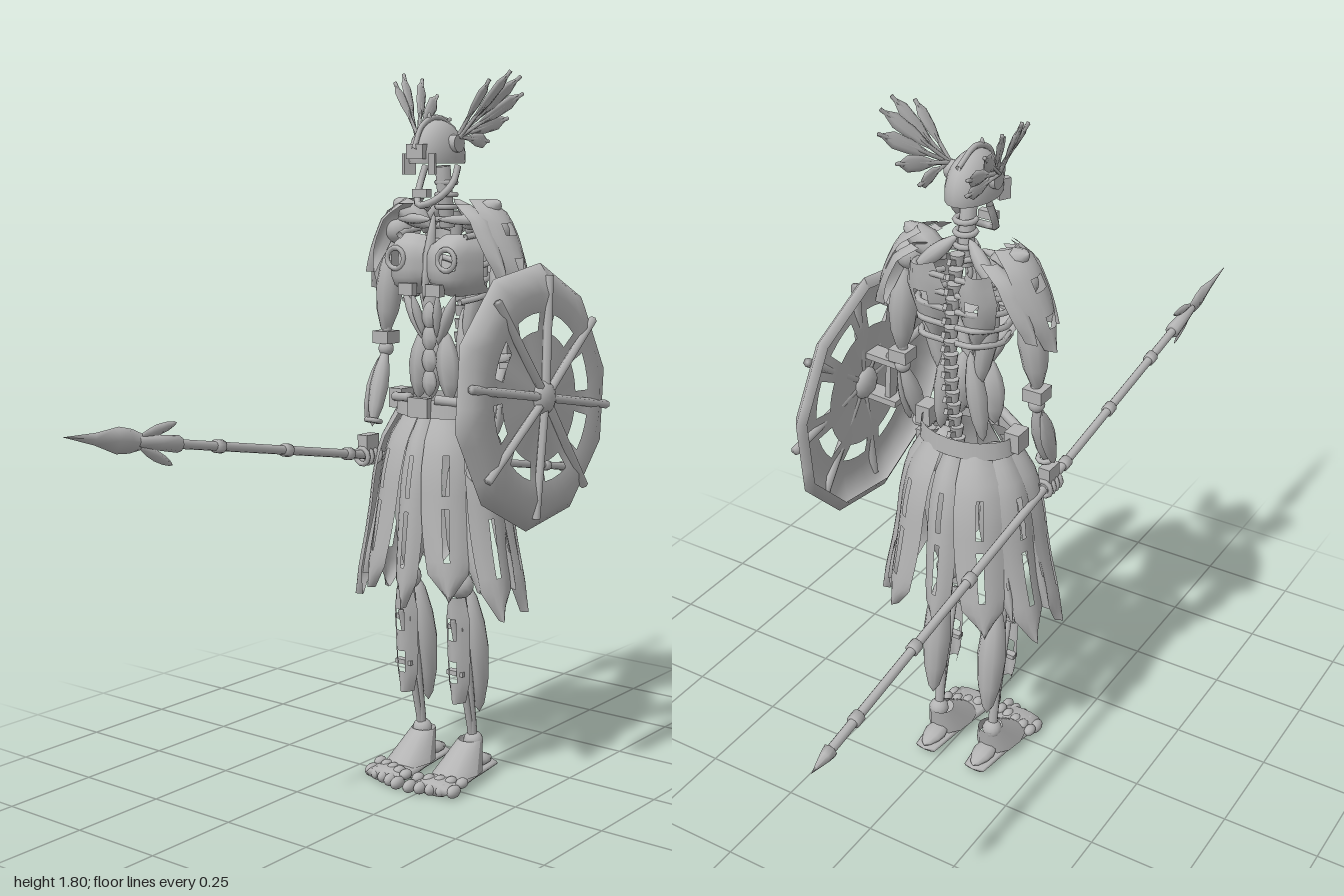
import * as THREE from 'three';

const steel = new THREE.MeshStandardMaterial({ color: 0xb4b4b4, side: THREE.DoubleSide });
steel.name = 'steel grey';
const V = (a) => new THREE.Vector3(...a);
const UP = new THREE.Vector3(0, 1, 0);

function add(parent, name, geo, pos = [0, 0, 0], rot = [0, 0, 0]) {
  const m = new THREE.Mesh(geo, steel);
  m.name = name;
  m.position.set(...pos);
  m.rotation.set(...rot);
  parent.add(m);
  return m;
}
const box = (p, name, size, pos, rot) => add(p, name, new THREE.BoxGeometry(...size), pos, rot);
const ball = (p, name, r, pos, scale = [1, 1, 1]) =>
  add(p, name, new THREE.SphereGeometry(r, 14, 10), pos).scale.set(...scale);
const tube = (p, name, pts, r) =>
  add(p, name, new THREE.TubeGeometry(new THREE.CatmullRomCurve3(pts.map(V)), 16, r, 6));

// Turned part from point a to b; profile is [radius, fraction of length]
const LEAF = [[0, 0], [0.45, 0.1], [0.85, 0.3], [1, 0.5], [0.8, 0.75], [0.4, 0.93], [0, 1]];
const ROD = [[0, 0], [1, 0], [1, 1], [0, 1]];
function spin(p, name, a, b, r, profile = LEAF, seg = 10, sx = 1, sz = 1) {
  const d = V(b).sub(V(a)), len = d.length();
  const geo = new THREE.LatheGeometry(profile.map(([q, t]) => new THREE.Vector2(q * r, t * len)), seg);
  geo.scale(sx, 1, sz);
  const m = add(p, name, geo, a);
  m.quaternion.setFromUnitVectors(UP, d.normalize());
  return m;
}

// Curved sheet from a rule f(u, v); cells listed by skip(i, j) are left open
function shell(p, name, nu, nv, f, skip = () => false) {
  const pos = [], idx = [];
  for (let j = 0; j <= nv; j++) for (let i = 0; i <= nu; i++) pos.push(...f(i / nu, j / nv));
  for (let j = 0; j < nv; j++) for (let i = 0; i < nu; i++) {
    if (skip(i, j)) continue;
    const a = j * (nu + 1) + i, b = a + nu + 1;
    idx.push(a, a + 1, b, b, a + 1, b + 1);
  }
  const g = new THREE.BufferGeometry();
  g.setAttribute('position', new THREE.Float32BufferAttribute(pos, 3));
  g.setIndex(idx);
  g.computeVertexNormals();
  return add(p, name, g);
}
// Linear interpolation through evenly spaced values
function ramp(vals, t) {
  const k = Math.min(t * (vals.length - 1), vals.length - 1.0001), i = Math.floor(k);
  return vals[i] + (vals[i + 1] - vals[i]) * (k - i);
}

function makeHead(body) {
  const h = new THREE.Group();
  h.name = 'head';
  body.add(h);
  const dome = add(h, 'helmet', new THREE.SphereGeometry(1, 20, 10, 0, Math.PI * 2, 0, 1.75), [0, 1.592, -0.063]);
  dome.scale.set(0.056, 0.09, 0.09);
  tube(h, 'helmetRidge', [[0, 1.61, 0.03], [0, 1.665, 0], [0, 1.688, -0.06], [0, 1.66, -0.13]], 0.007);
  spin(h, 'helmetSpike', [0, 1.67, -0.03], [0, 1.7, -0.03], 0.006);
  box(h, 'browGuard', [0.05, 0.035, 0.02], [0, 1.605, 0.02]);
  box(h, 'jawGuard', [0.045, 0.02, 0.02], [0, 1.505, 0]);
  tube(h, 'jaw', [[-0.05, 1.57, -0.08], [-0.05, 1.53, -0.06], [-0.03, 1.49, -0.02], [0, 1.475, 0.005],
    [0.03, 1.49, -0.02], [0.05, 1.53, -0.06], [0.05, 1.57, -0.08]], 0.009);
  for (const s of [-1, 1]) {
    box(h, 'visorSide', [0.016, 0.05, 0.03], [s * 0.036, 1.575, 0.005], [0, s * 0.5, 0]);
    add(h, 'earDisc', new THREE.CylinderGeometry(0.022, 0.022, 0.02, 12), [s * 0.056, 1.625, -0.065], [0, 0, 1.57]);
    // Fan of feathers sweeping out and back
    [[5, 0.16], [22, 0.2], [38, 0.22], [54, 0.215], [72, 0.18], [95, 0.13]].forEach(([deg, len], i) => {
      const a = deg * Math.PI / 180, c = Math.cos(a) * len, k = i % 2 * 0.006;
      const root = [s * (0.06 + k), 1.64, -0.065];
      const tip = [s * (0.06 + k + c * 0.53), 1.64 + c * 0.85, -0.065 - Math.sin(a) * len];
      spin(h, 'feather', root, tip, 0.019, [[0.2, 0], [0.3, 0.3], [0.9, 0.55], [1, 0.8], [0, 1]], 6, 0.3, 1);
      spin(h, 'featherQuill', root, tip, 0.005, ROD, 5);
    });
  }
  spin(h, 'neck', [0, 1.42, -0.105], [0, 1.57, -0.085], 0.02, ROD);
  for (let i = 0; i < 4; i++)
    add(h, 'neckRing', new THREE.TorusGeometry(0.024, 0.007, 6, 12), [0, 1.44 + i * 0.03, -0.1], [1.57, 0, 0]);
}

function makeTorso(body) {
  const t = new THREE.Group();
  t.name = 'torso';
  body.add(t);
  // Spine with thorned vertebrae
  for (let i = 0; i < 15; i++) {
    const y = 0.97 + i * 0.034, z = -0.135 - 0.03 * Math.sin(i / 14 * Math.PI);
    add(t, 'vertebra', new THREE.CylinderGeometry(0.018, 0.014, 0.026, 8), [0, y, z]);
    box(t, 'vertebraSpur', [0.01, 0.014, 0.03], [0, y, z - 0.022], [0.4, 0, 0]);
  }
  spin(t, 'breastbone', [0, 1.24, -0.005], [0, 1.46, -0.05], 0.014, LEAF, 6);
  for (let i = 0; i < 4; i++) spin(t, 'bellyPlate', [0, 1 + i * 0.055, -0.03], [0, 1.075 + i * 0.055, -0.03], 0.022, LEAF, 6, 1, 0.6);
  for (const s of [-1, 1]) {
    // Chest plate with an eye-shaped opening
    shell(t, 'chestPlate', 8, 7, (u, v) => {
      const a = u * 2 - 1, b = v * 2 - 1, w = 0.062 * (1 - 0.18 * b * b * b * b);
      return [s * (0.068 + a * w), 1.33 - b * 0.077 * (1 - 0.12 * a * a),
        0.008 - 0.05 * b * b * b * b - (a > 0 ? 0.085 : 0.02) * a * a * Math.abs(a)];
    }, (i, j) => (i > 3 && i < 6 && j > 1 && j < 4));
    add(t, 'chestRing', new THREE.TorusGeometry(0.026, 0.007, 6, 14), [s * 0.078, 1.345, 0.006]);
    box(t, 'chestVent', [0.045, 0.03, 0.02], [s * 0.042, 1.27, 0.004]);
    // Side ribs and shoulder blade
    for (let i = 0; i < 5; i++) {
      const y = 1.25 + i * 0.04, w = 0.1 + i * 0.005;
      tube(t, 'rib', [[s * 0.015, y, -0.165], [s * w * 0.7, y + 0.01, -0.175], [s * w, y, -0.11], [s * w * 0.85, y - 0.01, -0.04]], 0.008);
    }
    shell(t, 'shoulderBlade', 6, 6, (u, v) => {
      const a = u * 2 - 1, w = ramp([0.03, 0.052, 0.045, 0.01], v);
      return [s * (0.075 + a * w - 0.02 * v), 1.44 - v * 0.2, -0.195 + 0.03 * a * a + 0.04 * v * v];
    }, (i, j) => i > 1 && i < 4 && j === 2);
    spin(t, 'sideMuscle', [s * 0.1, 1.38, -0.13], [s * 0.045, 1.12, -0.12], 0.025);
    spin(t, 'ribStrut', [s * 0.08, 1.26, -0.03], [s * 0.015, 1.13, -0.045], 0.016);
    spin(t, 'ribStrut', [s * 0.04, 1.26, -0.01], [s * 0.02, 1.15, -0.035], 0.012);
    spin(t, 'oblique', [s * 0.035, 1.17, -0.05], [s * 0.05, 0.99, -0.05], 0.032, LEAF, 6, 1, 0.8);
    spin(t, 'loinMuscle', [s * 0.03, 1.22, -0.13], [s * 0.06, 0.98, -0.12], 0.026);
    spin(t, 'collarBone', [s * 0.01, 1.44, -0.05], [s * 0.15, 1.44, -0.09], 0.013);
    spin(t, 'collarWing', [s * 0.05, 1.42, -0.1], [s * 0.165, 1.485, -0.1], 0.032, LEAF, 8, 1, 1.1);
    spin(t, 'trapezius', [s * 0.015, 1.49, -0.11], [s * 0.11, 1.4, -0.15], 0.02);
  }
}

function makeArm(body, s) {
  const g = new THREE.Group();
  g.name = s > 0 ? 'leftArm' : 'rightArm';
  body.add(g);
  const handX = s * 0.177, hand = [handX, 0.865, -0.005];
  ball(g, 'shoulderJoint', 0.036, [s * 0.15, 1.41, -0.1]);
  // Layered shoulder plates, the middle one with windows
  [[-0.1, 0.065, 0, 1], [-0.05, 0.035, -0.015, 0.8], [-0.15, 0.035, -0.015, 0.8]].forEach(([z, w, dx, k], n) =>
    shell(g, 'shoulderPlate', 6, 9, (u, v) => {
      const a = u * 2 - 1, b = v * k;
      return [s * (ramp([0.125, 0.175, 0.208, 0.232, 0.242], b) + dx - 0.03 * a * a),
        ramp([1.49, 1.455, 1.39, 1.33, 1.26], b) - n * 0.012, z + a * w * ramp([0.55, 0.95, 1, 0.75, 0.1], v)];
    }, (i, j) => n === 0 && i > 1 && i < 4 && (j === 3 || j === 6)));
  spin(g, 'upperArmBone', [s * 0.16, 1.41, -0.1], [s * 0.185, 1.13, -0.09], 0.012, ROD);
  spin(g, 'upperArm', [s * 0.165, 1.39, -0.1], [s * 0.188, 1.14, -0.09], 0.036);
  box(g, 'elbowCuff', [0.05, 0.032, 0.05], [s * 0.186, 1.135, -0.09]);
  ball(g, 'elbow', 0.02, [s * 0.186, 1.105, -0.09]);
  spin(g, 'forearm', [s * 0.186, 1.11, -0.09], [handX, 0.91, -0.02], 0.024);
  spin(g, 'forearmGuard', [s * 0.2, 1.09, -0.09], [s * 0.205, 0.92, -0.03], 0.022, LEAF, 6, 0.5, 1.2);
  add(g, 'wristRing', new THREE.TorusGeometry(0.018, 0.007, 6, 10), [handX, 0.925, -0.025], [1.3, 0, 0]);
  box(g, 'palm', [0.03, 0.055, 0.05], hand);
  for (let i = 0; i < 4; i++)
    add(g, 'finger', new THREE.TorusGeometry(0.02, 0.007, 6, 10), [handX, 0.838, -0.03 + i * 0.017]);
}

// Skirt of pointed, slotted panels hanging from the belt
function makeSkirt(body) {
  const g = new THREE.Group();
  g.name = 'skirt';
  g.position.set(0, 0, -0.085);
  body.add(g);
  const belt = add(g, 'belt', new THREE.CylinderGeometry(0.125, 0.13, 0.045, 20, 1, true), [0, 0.975, 0]);
  belt.scale.z = 0.72;
  box(g, 'buckle', [0.06, 0.05, 0.02], [0, 0.978, 0.095]);
  for (const s of [-1, 1]) {
    box(g, 'beltPouch', [0.04, 0.05, 0.05], [s * 0.125, 0.985, 0.01]);
    spin(g, 'beltTube', [s * 0.04, 1, 0.085], [s * 0.12, 0.99, 0.04], 0.012, ROD);
    ball(g, 'hip', 0.055, [s * 0.075, 0.9, 0], [1, 1.1, 1]);
  }
  const panel = (deg, width, tipY, off) => {
    const a = deg * Math.PI / 180, sn = Math.sin(a), cs = Math.cos(a);
    shell(g, 'skirtPanel', 7, 14, (u, v) => {
      const q = u * 2 - 1, w = width * ramp([0.6, 0.9, 1, 1, 0.98, 0.92, 0.82, 0.04], v) / 2;
      const rx = ramp([0.125, 0.172, 0.19, 0.2, 0.215, 0.235, 0.25], v) + off;
      const rz = ramp([0.085, 0.125, 0.145, 0.155, 0.165, 0.175, 0.18], v) + off;
      const c = 0.022 * q * q;
      return [sn * (rx - c) + cs * w * q, 0.965 - v * (0.965 - tipY), cs * (rz - c) - sn * w * q];
    }, (i, j) => i === 3 && j > 2 && j < 11 && j !== 6);
  };
  panel(0, 0.08, 0.48, -0.004);
  panel(180, 0.085, 0.49, -0.004);
  for (const s of [-1, 1]) {
    [[32, 0.125, 0.51], [70, 0.11, 0.46], [108, 0.11, 0.46], [147, 0.125, 0.5]].forEach(([d, w, y], i) =>
      panel(s * d, w, y, i % 2 ? 0.004 : -0.006));
    for (const d of [54, 89, 127]) panel(s * d, 0.045, 0.53, -0.018);
  }
}

function makeLeg(body, s) {
  const g = new THREE.Group();
  g.name = s > 0 ? 'leftLeg' : 'rightLeg';
  body.add(g);
  const x = s * 0.083;
  spin(g, 'thigh', [s * 0.075, 0.93, -0.085], [x, 0.53, -0.06], 0.055);
  ball(g, 'knee', 0.034, [x, 0.525, -0.05]);
  spin(g, 'shinBone', [x, 0.53, -0.05], [x, 0.09, -0.108], 0.013, ROD, 8);
  spin(g, 'shinRod', [x, 0.44, -0.02], [x, 0.12, -0.1], 0.009, ROD, 8);
  spin(g, 'calf', [x, 0.52, -0.09], [x, 0.17, -0.135], 0.038);
  // Shin guard with two windows
  shell(g, 'shinGuard', 6, 10, (u, v) => {
    const a = u * 2 - 1, w = ramp([0.024, 0.036, 0.036, 0.035, 0.032, 0.018], v);
    return [x + a * w, 0.5 - v * 0.28, -0.008 - 0.03 * a * a - 0.012 * v];
  }, (i, j) => i > 1 && i < 4 && (j === 2 || j === 3 || j === 6 || j === 7));
  for (const y of [0.42, 0.3]) box(g, 'shinBrace', [0.05, 0.012, 0.02], [x, y, -0.035]);
  // Foot: sloping instep, sole, heel and five toes
  const fx = s * 0.076;
  ball(g, 'ankle', 0.026, [x, 0.1, -0.108]);
  shell(g, 'instep', 12, 5, (u, v) => {
    const a = u * Math.PI * 2, r = 0.058 - 0.026 * v;
    return [fx + Math.cos(a) * r, 0.03 + 0.075 * v, -0.055 - 0.05 * v + Math.sin(a) * (0.07 - 0.038 * v) + (Math.sin(a) > 0 ? 0.012 * (1 - v) : 0)];
  });
  spin(g, 'sole', [fx, 0.02, -0.195], [fx, 0.02, 0.07], 0.06, [[0, 0], [0.5, 0.03], [0.6, 0.2], [0.75, 0.5], [1, 0.8], [0.9, 1], [0, 1]], 12, 1, 0.3);
  spin(g, 'heel', [fx, 0.032, -0.195], [fx, 0.045, -0.08], 0.03, LEAF, 10, 1, 0.6);
  for (let i = 0; i < 5; i++) {
    const tx = fx + s * (i - 2) * 0.028, tz = 0.1 - i * 0.009;
    ball(g, 'toe', 0.015, [tx, 0.018, tz - 0.02], [0.95, 1.1, 1.6]);
    ball(g, 'toeKnuckle', 0.015, [tx, 0.03, tz - 0.055], [0.95, 0.9, 1.3]);
  }
}

function makeShield(root) {
  const g = new THREE.Group();
  g.name = 'shield';
  g.position.set(0.234, 1.017, -0.085);
  g.rotation.z = 0.06;
  root.add(g);
  const R = [0.02, 0.16, 0.205, 0.25, 0.29, 0.322, 0.295], X = [0.03, 0.02, 0.028, 0.036, 0.024, 0, -0.012];
  const side = Math.PI / 5, at = (r, a, x) => [x, r * Math.cos(a), -r * Math.sin(a)];
  shell(g, 'shieldFace', 40, 6, (u, v) => {
    const a = u * Math.PI * 2 + 0.17, k = Math.round(v * 6);
    const m = ((u * Math.PI * 2) % side) - side / 2;
    return at(R[k] * (k > 3 ? Math.cos(side / 2) / Math.cos(m) * 1.015 : 1), a, X[k]);
  }, (i, j) => j === 1 && i % 5 > 0 && i % 5 < 4);
  for (let i = 0; i < 8; i++) {
    const a = 0.17 + i * Math.PI / 4;
    spin(g, 'spoke', at(0.02, a, 0.036), at(0.295, a, 0.028), 0.011, ROD, 6);
  }
  ball(g, 'boss', 0.042, [0.03, 0, 0], [0.6, 1, 1]);
  // Grip and straps behind
  box(g, 'grip', [0.014, 0.14, 0.03], [-0.035, 0.03, 0.02]);
  for (const y of [0.08, -0.03]) box(g, 'strap', [0.09, 0.016, 0.05], [-0.02, y, 0.02]);
}

function makeSpear(root) {
  const g = new THREE.Group();
  g.name = 'spear';
  g.position.set(-0.215, 0.839, 0);
  g.rotation.x = -0.1756;
  root.add(g);
  spin(g, 'shaft', [0, 0, -0.95], [0, 0, 0.75], 0.011, ROD);
  for (const z of [-0.84, -0.61, -0.375, 0.08, 0.315, 0.55])
    spin(g, 'shaftRing', [0, 0, z - 0.012], [0, 0, z + 0.012], 0.016, ROD);
  spin(g, 'buttSpike', [0, 0, -0.935], [0, 0, -1.006], 0.017, [[0, 0], [1, 0.02], [0.8, 0.3], [0, 1]], 8);
  spin(g, 'socket', [0, 0, 0.68], [0, 0, 0.8], 0.02, [[0, 0], [1, 0], [0.85, 0.5], [0.6, 1], [0, 1]], 8);
  spin(g, 'blade', [0, 0, 0.76], [0, 0, 1.016], 0.03, [[0.3, 0], [0.9, 0.25], [1, 0.4], [0.45, 0.65], [0, 1]], 4, 0.4, 1);
  for (const s of [-1, 1])
    spin(g, 'barb', [0, s * 0.01, 0.8], [0, s * 0.048, 0.69], 0.013, LEAF, 4, 0.5, 1);
}

export function createModel() {
  const root = new THREE.Group();
  root.name = 'spearWarrior';
  const body = new THREE.Group();
  body.name = 'body';
  body.position.x = -0.04;
  root.add(body);
  makeHead(body);
  makeTorso(body);
  makeSkirt(body);
  for (const s of [-1, 1]) {
    makeArm(body, s);
    makeLeg(body, s);
  }
  makeShield(root);
  makeSpear(root);
  return root;
}
